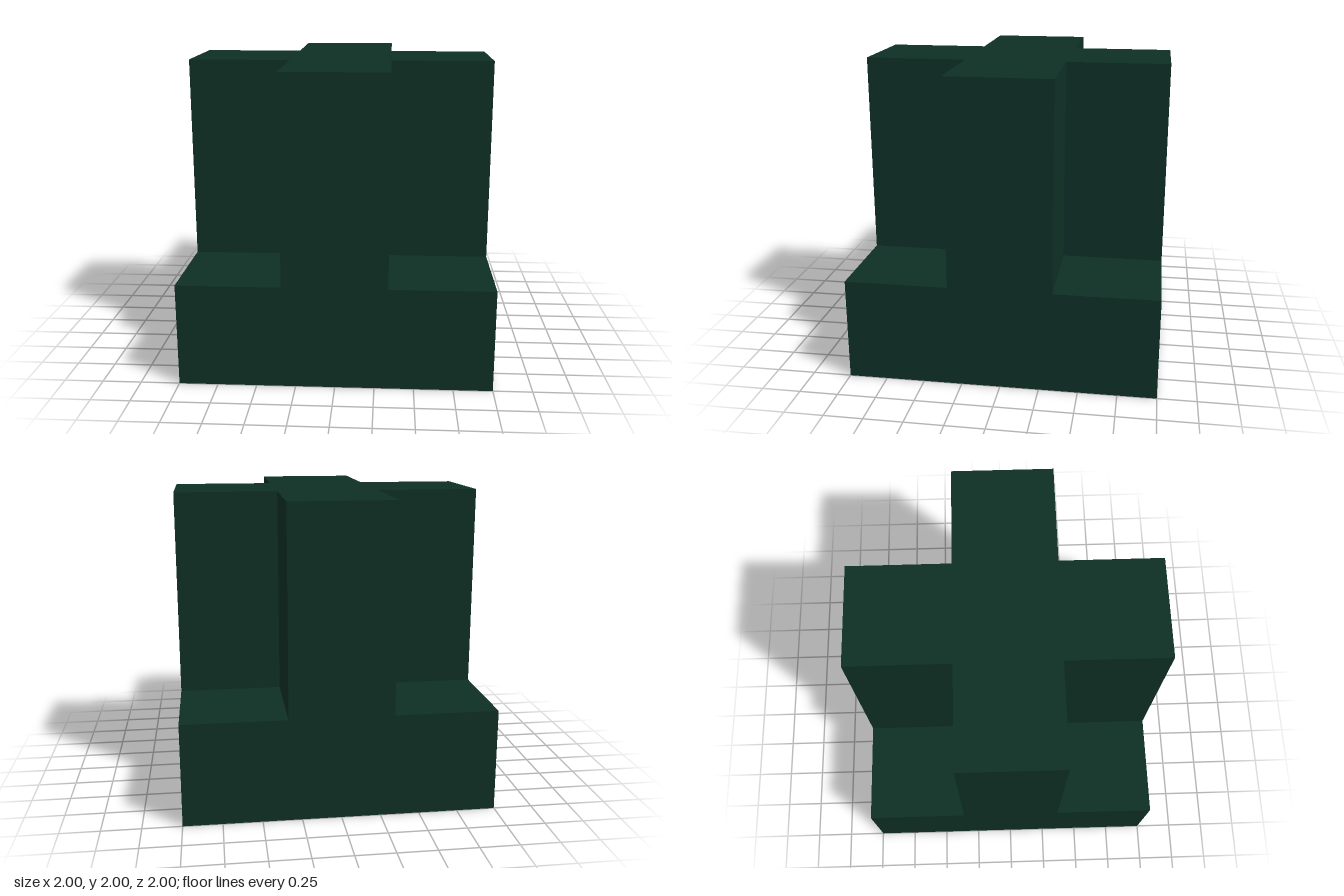
import * as THREE from 'three';

export function createModel() {
  const group = new THREE.Group();
  const darkGreen = new THREE.MeshStandardMaterial({ color: 0x0e2f25 });
  darkGreen.name = 'darkGreen';

  const unit = 2 / 3; // the model is a 3 x 3 x 3 grid of cells
  const a = unit / 2;

  // Square slab at the bottom
  const base = new THREE.Mesh(new THREE.BoxGeometry(2, unit, 2), darkGreen);
  base.name = 'base';
  base.position.y = unit / 2;
  group.add(base);

  // Cross-shaped tower standing on the slab
  const cross = new THREE.Shape([
    [a, -1], [a, -a], [1, -a], [1, a], [a, a], [a, 1],
    [-a, 1], [-a, a], [-1, a], [-1, -a], [-a, -a], [-a, -1],
  ].map(([x, y]) => new THREE.Vector2(x, y)));
  const towerGeometry = new THREE.ExtrudeGeometry(cross, { depth: 2 * unit, bevelEnabled: false });
  towerGeometry.rotateX(-Math.PI / 2);
  const tower = new THREE.Mesh(towerGeometry, darkGreen);
  tower.name = 'crossTower';
  tower.position.y = unit;
  group.add(tower);

  return group;
}
